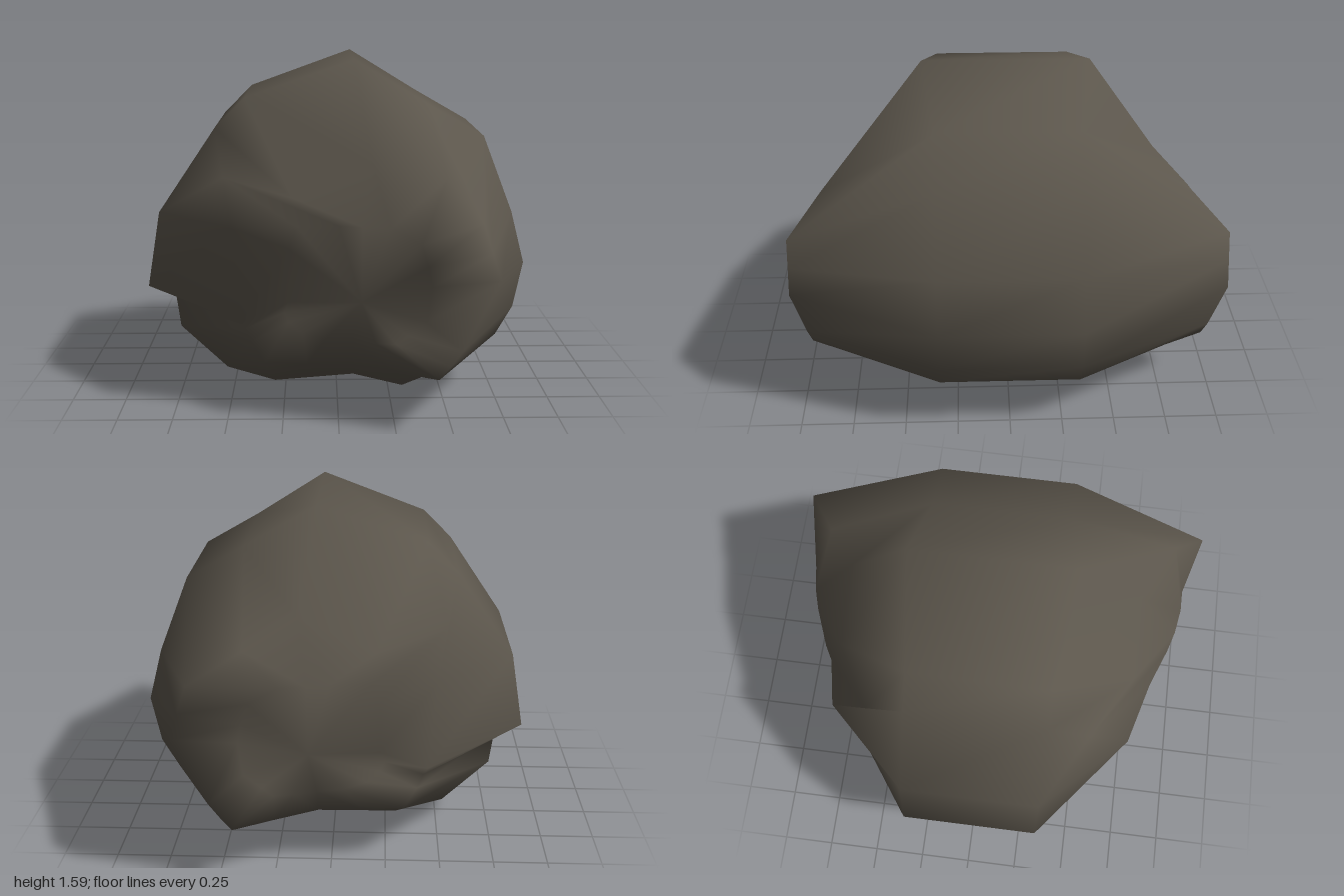
import * as THREE from 'three';

// Outer girdle of the boulder: [x, y], clockwise from the peak
const girdle = [
  [0.08, 1.59], [0.42, 1.385], [0.69, 1.23], [0.83, 0.87], [0.895, 0.62], [0.85, 0.4],
  [0.77, 0.26], [0.54, 0.09], [0.32, 0], [0.08, 0.06], [-0.3, 0.03], [-0.53, 0.1],
  [-0.75, 0.31], [-0.77, 0.46], [-0.9, 0.51], [-0.84, 0.87], [-0.57, 1.27], [-0.43, 1.41],
];

// Rim of each end face: [x, y, z], matching the girdle point by point
const rim = [
  [0.15, 1.165, 0.7], [0.375, 1.06, 0.85], [0.6, 0.955, 1], [0.64, 0.83, 1], [0.68, 0.71, 1], [0.53, 0.39, 0.965],
  [0.48, 0.32, 0.96], [0.43, 0.26, 0.96], [0.25, 0.255, 0.85], [0.06, 0.25, 0.74], [-0.14, 0.26, 0.745], [-0.33, 0.27, 0.75],
  [-0.39, 0.35, 0.7], [-0.42, 0.4, 0.66], [-0.44, 0.43, 0.66], [-0.47, 0.88, 0.72], [-0.52, 1.07, 0.53], [-0.2, 1.01, 0.71],
];
const shoulder = [0.46, 1.12, 0.85]; // fuller shoulder on the front only

// Inside of each end face: a brow, a low bulge, and a shallow groove at the hub
const inner = [
  [0.1, 0.92, 0.9], [0.22, 0.92, 0.92], [0.35, 0.85, 0.93], [0.38, 0.75, 0.92], [0.4, 0.66, 0.91], [0.38, 0.5, 0.9],
  [0.3, 0.44, 0.9], [0.25, 0.4, 0.9], [0.16, 0.4, 0.88], [0.06, 0.4, 0.85], [-0.06, 0.4, 0.82], [-0.16, 0.42, 0.79],
  [-0.22, 0.46, 0.76], [-0.24, 0.5, 0.745], [-0.22, 0.55, 0.75], [-0.22, 0.8, 0.78], [-0.18, 0.9, 0.8], [0, 0.92, 0.87],
];
const hub = [0.1, 0.57, 0.83];

function boulderGeometry() {
  const n = girdle.length;
  const belt = girdle.map(([x, y], i) => [x, y, i === 0 ? 0.39 : 0.33]);
  const frontRim = rim.map((p, i) => (i === 1 ? shoulder : p));
  const mirror = (ring) => ring.map(([x, y, z]) => [x, y, -z]);
  const rows = [...[inner, rim, belt].map(mirror), belt, frontRim, inner];

  const points = rows.flat();
  const index = [];
  for (let r = 0; r < rows.length - 1; r++) {
    for (let i = 0; i < n; i++) {
      const j = (i + 1) % n;
      const a = r * n + i, b = r * n + j, c = b + n, d = a + n;
      index.push(a, d, c, a, c, b);
    }
  }
  // Close both ends with a fan
  const back = points.push([hub[0], hub[1], -hub[2]]) - 1;
  const front = points.push(hub) - 1;
  const last = (rows.length - 1) * n;
  for (let i = 0; i < n; i++) {
    const j = (i + 1) % n;
    index.push(back, i, j, front, last + j, last + i);
  }

  const geometry = new THREE.BufferGeometry();
  geometry.setAttribute('position', new THREE.Float32BufferAttribute(points.flat(), 3));
  geometry.setIndex(index);
  geometry.computeVertexNormals();
  return geometry;
}

export function createModel() {
  const group = new THREE.Group();
  group.name = 'rock';
  const stone = new THREE.MeshStandardMaterial({ color: 0x5c564c });
  stone.name = 'stone';
  const boulder = new THREE.Mesh(boulderGeometry(), stone);
  boulder.name = 'boulder';
  group.add(boulder);
  return group;
}
